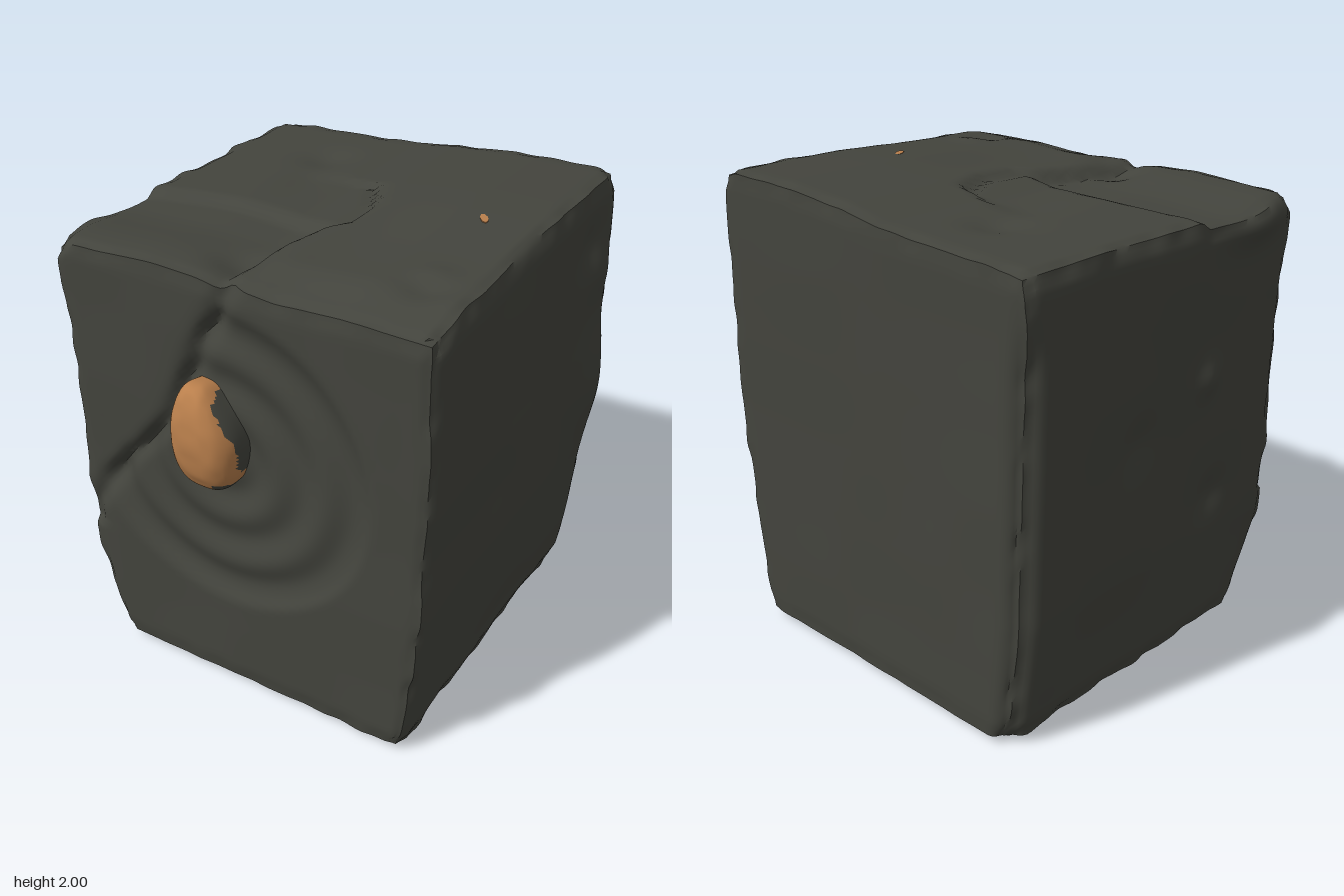
import * as THREE from 'three';
import { toCreasedNormals } from 'three/addons/utils/BufferGeometryUtils.js';

const { smoothstep, lerp } = THREE.MathUtils;

// piecewise-linear lookup through [key, value] pairs with rising keys
function curve(pts, k) {
  if (k <= pts[0][0]) return pts[0][1];
  for (let i = 1; i < pts.length; i++) {
    const [a, va] = pts[i - 1], [b, vb] = pts[i];
    if (k <= b) return lerp(va, vb, (k - a) / (b - a));
  }
  return pts[pts.length - 1][1];
}

// seeded lattice noise, -1..1
function hash(x, y, z) {
  const s = Math.sin(x * 127.1 + y * 311.7 + z * 74.7) * 43758.5453;
  return (s - Math.floor(s)) * 2 - 1;
}
function noise(x, y, z) {
  const ix = Math.floor(x), iy = Math.floor(y), iz = Math.floor(z);
  const f = [x - ix, y - iy, z - iz].map((t) => t * t * (3 - 2 * t));
  let sum = 0;
  for (let i = 0; i < 8; i++) {
    const a = i & 1, b = (i >> 1) & 1, c = i >> 2;
    sum += hash(ix + a, iy + b, iz + c)
      * (a ? f[0] : 1 - f[0]) * (b ? f[1] : 1 - f[1]) * (c ? f[2] : 1 - f[2]);
  }
  return sum;
}
const bump = (dx, dy, r) => Math.exp(-(dx * dx + dy * dy) / (r * r));

// outlines of the block and paths of its cracks
const LEFT = [[0.03, 0.735], [0.55, 0.795], [1.2, 0.815], [1.6, 0.825], [1.9, 0.825]];
const RIGHT = [[0.03, 0.74], [0.35, 0.775], [0.7, 0.805], [1.2, 0.825], [1.9, 0.815]];
const TOP_LEFT_TO_RIGHT = [[-0.85, 1.905], [-0.1, 1.94], [0.1, 1.975], [0.45, 2.0], [0.85, 2.0]];
const FRONT_CRACK = [[0.68, -0.8], [0.95, -0.62], [1.13, -0.46], [1.28, -0.34], [1.4, -0.29], [1.6, -0.21], [1.92, -0.04]];
const TOP_CRACK = [[-0.33, -0.15], [-0.28, 0.02], [-0.1, 0.1], [0.08, 0.09], [0.15, 0.02], [0.35, -0.03], [0.55, -0.07], [0.72, -0.05]];

// ripples in a shallow bowl, cut off by the cracked corner (negative = inward)
function frontRelief(x, y) {
  const d = (x - curve(FRONT_CRACK, y) + 0.012 * noise(x * 9, y * 9, 3)) * 0.8;
  const broken = y > 0.6 ? 1 - smoothstep(d, -0.02, 0.02) : 0;
  const r = Math.hypot(x + 0.1, y - 1.14);
  const fade = 1 - smoothstep(r, 0.64, 0.69);
  const ripple = -0.012 * fade * (1 + Math.cos((r - 0.58) / 0.215 * Math.PI * 2)) - 0.012 * fade;
  const groove = y > 0.6 ? -0.03 * bump(d - 0.02, 0, 0.04) : 0;
  return lerp(ripple, -0.004, broken) + groove;
}

// sunken slab, cracks and dents of the top face
function topRelief(x, z) {
  const d = x - curve(TOP_CRACK, z) + 0.012 * noise(x * 9, z * 9, 7);
  const side = 1 - smoothstep(d, -0.03, 0.02);
  const backEdge = 0.11 - 0.04 * Math.cos((x + 0.4) * 4);
  const dip = smoothstep(z, backEdge - 0.03, backEdge + 0.04) * (1 - smoothstep(z, 0.25, 0.6));
  const ledge = smoothstep(z, -0.38, -0.26) * smoothstep(x, -0.45, -0.05);
  const groove = z > -0.3 ? 0.02 * bump(d, 0, 0.025) : 0;
  return -side * (0.035 * dip + 0.018 * ledge) - groove
    - 0.035 * bump(x + 0.1, z - 0.5, 0.1)
    - 0.02 * bump(x + 0.36, z + 0.5, 0.1)
    - 0.012 * bump(x + 0.3, (z + 0.3) * 0.5, 0.1)
    - 0.02 * bump(x - 0.62, z - 0.44, 0.08)
    + 0.012 * bump(x - 0.6, z - 0.34, 0.07);
}

function stoneGeometry() {
  const n = 72;
  const geo = new THREE.BoxGeometry(2, 2, 2, n, n, n);
  const pos = geo.attributes.position;
  for (let i = 0; i < pos.count; i++) {
    const u = pos.getX(i), v = pos.getY(i), w = pos.getZ(i);
    const t = (v + 1) / 2;
    let y = 0.035 + t * 1.9;
    let z = -0.07 + 0.775 * w;

    // sides taper toward the foot, widening a little toward the back on the right
    let x = u * (u < 0 ? curve(LEFT, y) : curve(RIGHT, y) + 0.01 * smoothstep(-w, 0.2, 1));

    // uneven top, rising toward the back on the right
    let top = curve(TOP_LEFT_TO_RIGHT, x);
    top -= 0.045 * smoothstep(z, 0.45, 0.7) * smoothstep(x, -0.2, 0.2) + 0.03 * smoothstep(z, -0.4, 0.4) * smoothstep(x, -0.2, 0.3);
    y = 0.035 + t * (top - 0.035);
    const topW = smoothstep(v, 0.75, 1), frontW = smoothstep(w, 0.8, 1);
    y += topRelief(x, z) * topW;
    z += frontRelief(x, y) * frontW;

    // bulges and chips on the left and right sides
    const rightW = smoothstep(u, 0.85, 1), leftW = smoothstep(-u, 0.85, 1), backW = smoothstep(-w, 0.85, 1);
    x += rightW * (0.045 * bump(y - 1.05, (z + 0.74) * 2, 0.25) + 0.02 * bump(y - 1.6, z + 0.72, 0.1)
      - 0.025 * bump(y - 1.75, z + 0.62, 0.09) - 0.012 * bump((y - 0.16) * 2, z + 0.12, 0.2)
      - 0.01 * bump(y - 1.0, z - 0.1, 0.12));
    x -= leftW * (0.06 * bump((y - 1.85) * 2, z - 0.45, 0.17) + 0.03 * bump(y - 1.25, z - 0.2, 0.07)
      + 0.02 * bump(y - 1.75, z, 0.25) - 0.03 * bump(y - 0.7, z - 0.3, 0.09) - 0.02 * bump(y - 1.1, z + 0.2, 0.1));
    x += leftW * frontW * 0.06 * (1 - smoothstep(y, 0.05, 0.5));

    // worn left back edge, fading out toward the top
    const bevel = 0.03 * leftW * backW * (1 - smoothstep(y, 1.5, 1.85));
    x += bevel;
    z += bevel;

    // soft unevenness, then ragged worn edges
    const sway = 0.008;
    x += sway * noise(x * 3, y * 3, z * 3) * Math.abs(u);
    z += sway * noise(x * 3 + 9, y * 3, z * 3) * Math.abs(w) * (w > 0 ? 0.7 : 0.4);
    const edge = [u, v, w].map(Math.abs).sort((a, b) => a - b);
    const e = smoothstep(edge[1], 0.92, 1);
    const corner = smoothstep(edge[0], 0.9, 1);
    const wear = e * (0.006 + 0.011 * (1 + noise(x * 11, y * 11, z * 11)) + 0.014 * corner);
    x -= u * wear;
    y -= v * wear * (v > 0 ? 0.6 : 0.15);
    z -= w * wear * (w > 0 ? 0.5 : 0.35);

    // small spur under the right back corner
    if (v < -0.95) y -= 0.035 * bump(x - 0.7, z + 0.68, 0.035);
    pos.setXYZ(i, x, Math.max(0, Math.min(2, y)), z);
  }
  return toCreasedNormals(geo, 0.85);
}

// tear-shaped knob, with stone crusted over part of its flank
function knobGeometry() {
  const geo = new THREE.SphereGeometry(1, 56, 44);
  const pos = geo.attributes.position;
  const soft = (k, p) => Math.sign(k) * Math.abs(k) ** p;
  for (let i = 0; i < pos.count; i++) {
    const a = pos.getX(i), b = pos.getY(i), c = pos.getZ(i);
    const width = 0.15 * (1 - 0.32 * smoothstep(b, -0.1, 1));
    const z = 0.68 + 0.16 * soft(c, 0.65) + 0.004 * noise(a * 4, b * 4, c * 4);
    // the crown slopes down toward the block
    const slope = 0.25 * smoothstep(b, 0.3, 1) * Math.max(0, 0.79 - z);
    pos.setXYZ(i,
      -0.123 + width * soft(a, 0.68) - 0.035 * Math.max(0, b),
      1.277 + 0.238 * soft(b, 0.9) - slope, z);
  }
  geo.computeVertexNormals();
  const bare = [], crusted = [], idx = geo.index.array;
  for (let i = 0; i < idx.length; i += 3) {
    const tri = [idx[i], idx[i + 1], idx[i + 2]];
    const mid = (axis) => tri.reduce((s, k) => s + pos.getComponent(k, axis), 0) / 3;
    const x = mid(0), y = mid(1), z = mid(2);
    const ragged = 0.015 * noise(x * 30, y * 30, z * 30);
    const reach = curve([[1.14, 0.71], [1.18, 0.745], [1.3, 0.76], [1.36, 0.785], [1.44, 0.77], [1.47, 0.72]], y);
    const flank = x > -0.09 && z < reach + ragged;
    const spot = Math.hypot(x + 0.035, y - 1.083) < 0.028 + ragged;
    (y > 1.14 && flank || spot ? crusted : bare).push(...tri);
  }
  geo.setIndex([...bare, ...crusted]);
  geo.clearGroups();
  geo.addGroup(0, bare.length, 0);
  geo.addGroup(bare.length, crusted.length, 1);
  return geo;
}

export function createModel() {
  const stone = new THREE.MeshStandardMaterial({ color: 0x43443d });
  stone.name = 'dark stone';
  const amber = new THREE.MeshStandardMaterial({ color: 0xb97f4c });
  amber.name = 'amber';

  const model = new THREE.Group();
  model.name = 'rippledStoneBlock';
  const add = (name, geometry, material) => {
    const mesh = new THREE.Mesh(geometry, material);
    mesh.name = name;
    model.add(mesh);
    return mesh;
  };

  add('stoneBlock', stoneGeometry(), stone);
  add('amberKnob', knobGeometry(), [amber, stone]);

  // amber fleck showing through the top
  const fleck = add('amberFleck', new THREE.CylinderGeometry(0.02, 0.02, 0.009, 7), amber);
  fleck.scale.set(0.8, 1, 2);
  fleck.rotation.y = 0.6;
  fleck.position.set(0.56, 1.99, -0.14);
  return model;
}
